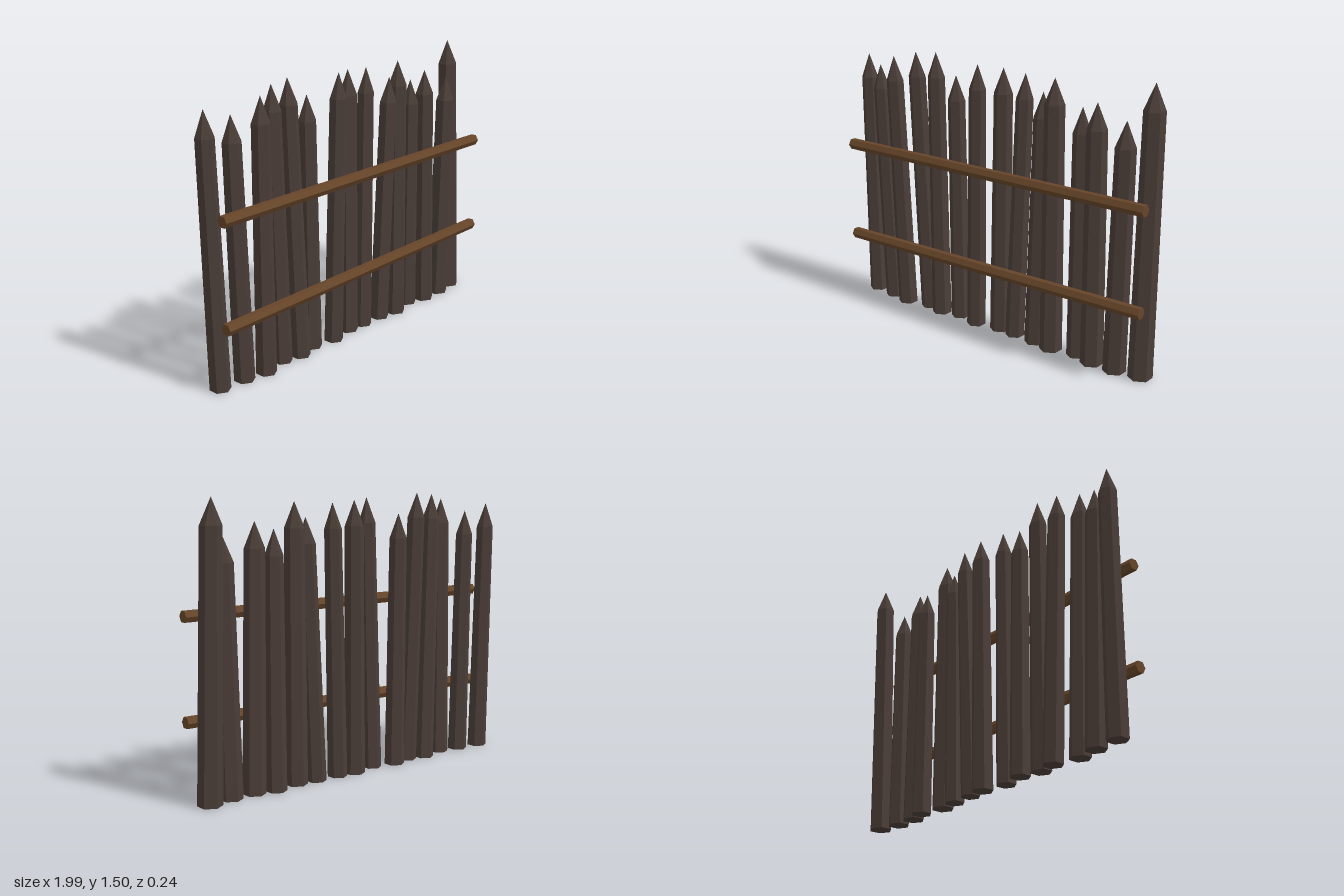
import * as THREE from 'three';

// faceted normals for the low-poly look
function facet(geometry) {
  const g = geometry.toNonIndexed();
  g.computeVertexNormals();
  return g;
}

// [base x, base z, tip x, tip z, height, base radius]
const STAKES = [
  [-0.93, -0.03, -0.96, -0.04, 1.43, 0.055],
  [-0.78, -0.015, -0.83, 0, 1.39, 0.055],
  [-0.65, 0.01, -0.68, 0.045, 1.46, 0.055],
  [-0.50, -0.025, -0.56, -0.005, 1.49, 0.055],
  [-0.39, 0, -0.43, -0.025, 1.5, 0.055],
  [-0.27, -0.03, -0.29, -0.03, 1.39, 0.055],
  [-0.13, 0, -0.10, 0.015, 1.48, 0.053],
  [0.02, -0.03, 0.03, -0.04, 1.47, 0.058],
  [0.13, -0.02, 0.175, -0.04, 1.46, 0.053],
  [0.27, -0.015, 0.32, 0, 1.39, 0.055],
  [0.39, 0, 0.39, 0, 1.47, 0.061],
  [0.54, -0.03, 0.54, -0.03, 1.34, 0.056],
  [0.655, 0, 0.64, -0.01, 1.38, 0.061],
  [0.795, 0, 0.82, 0.005, 1.32, 0.061],
  [0.935, -0.025, 0.925, -0.07, 1.505, 0.064],
];

// six-sided sharpened post, sheared so that it leans from base to tip
function stakeGeometry([bx, bz, tx, tz, h, r]) {
  const profile = [[0, 0], [r, 0], [r * 0.87, h - 0.135], [0, h]];
  const g = new THREE.LatheGeometry(profile.map(([x, y]) => new THREE.Vector2(x, y)), 6);
  const p = g.attributes.position;
  for (let i = 0; i < p.count; i++) {
    const t = p.getY(i) / h;
    p.setX(i, p.getX(i) + bx + (tx - bx) * t);
    p.setZ(i, p.getZ(i) + bz + (tz - bz) * t);
  }
  return facet(g);
}

export function createModel() {
  const group = new THREE.Group();
  group.name = 'palisadeFence';

  const darkWood = new THREE.MeshStandardMaterial({ color: 0x4a3d37 });
  darkWood.name = 'darkWood';
  const brownWood = new THREE.MeshStandardMaterial({ color: 0x664529 });
  brownWood.name = 'brownWood';

  // row of pointed stakes
  STAKES.forEach((s, i) => {
    const stake = new THREE.Mesh(stakeGeometry(s), darkWood);
    stake.name = `stake${i + 1}`;
    group.add(stake);
  });

  // two slightly sloping rails along the front
  const rails = [['lowerRail', 0.375, 0.403], ['upperRail', 0.92, 0.927]];
  for (const [name, y0, y1] of rails) {
    const rail = new THREE.Mesh(facet(new THREE.CylinderGeometry(0.032, 0.032, 1.98, 6)), brownWood);
    rail.name = name;
    rail.position.set(0.005, (y0 + y1) / 2, 0.091);
    rail.rotation.z = Math.PI / 2 + Math.atan2(y1 - y0, 1.98);
    group.add(rail);
  }
  return group;
}
